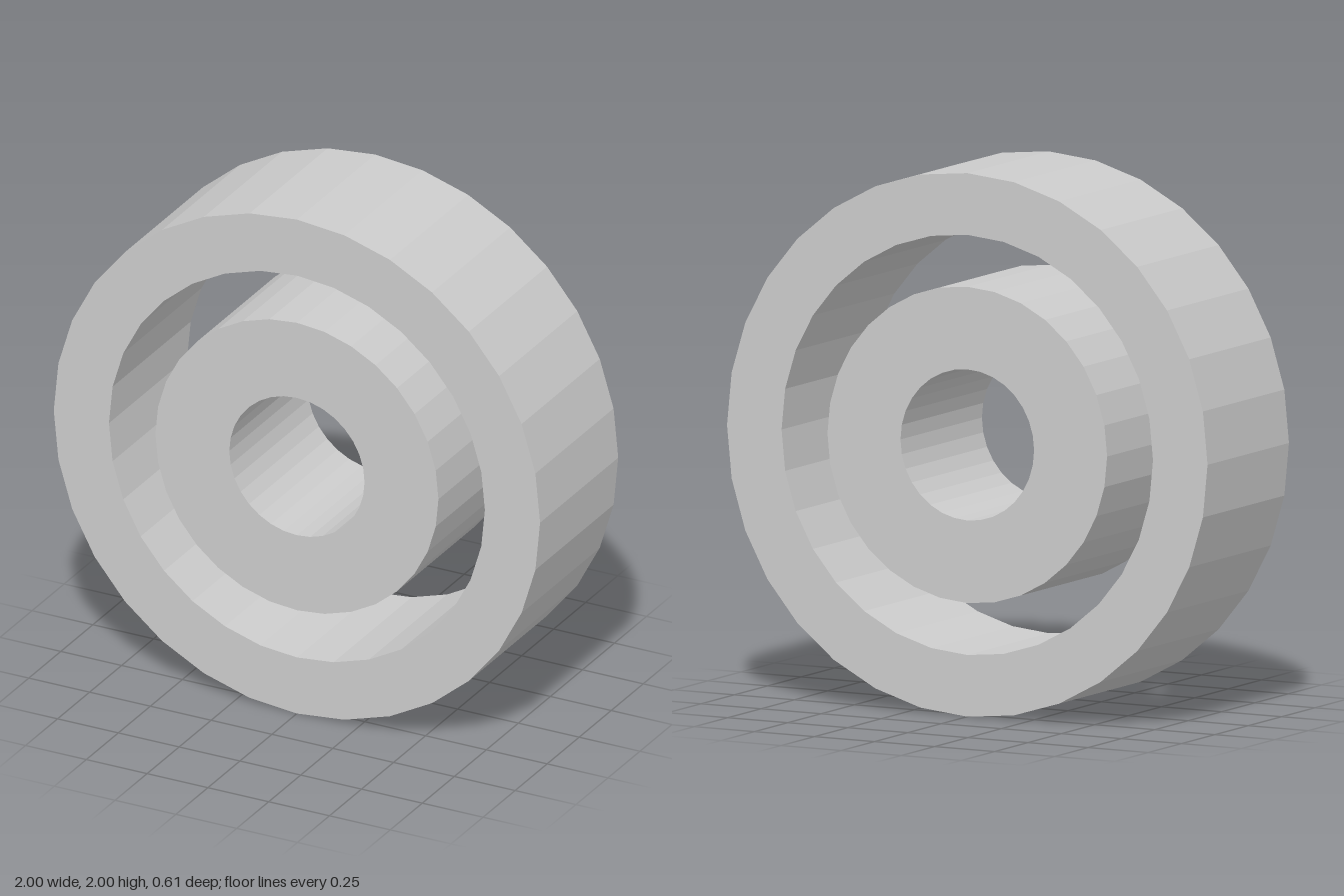
import * as THREE from 'three';

const SIDES = 32;
const HALF_DEPTH = 0.305;

// Faceted ring with a rectangular section, its axis along z
function makeRing(name, innerRadius, outerRadius, material) {
  const profile = [
    [innerRadius, -HALF_DEPTH],
    [outerRadius, -HALF_DEPTH],
    [outerRadius, HALF_DEPTH],
    [innerRadius, HALF_DEPTH],
    [innerRadius, -HALF_DEPTH],
  ].map(([r, y]) => new THREE.Vector2(r, y));
  const geometry = new THREE.LatheGeometry(profile, SIDES).rotateX(Math.PI / 2);
  const mesh = new THREE.Mesh(geometry, material);
  mesh.name = name;
  mesh.position.y = 1;
  return mesh;
}

export function createModel() {
  const group = new THREE.Group();
  group.name = 'bearing';
  const material = new THREE.MeshStandardMaterial({ color: 0xcccccc, flatShading: true });

  // Two concentric rings with an open gap between them
  group.add(makeRing('outerRing', 0.773, 1, material));
  group.add(makeRing('innerRing', 0.278, 0.582, material));
  return group;
}
